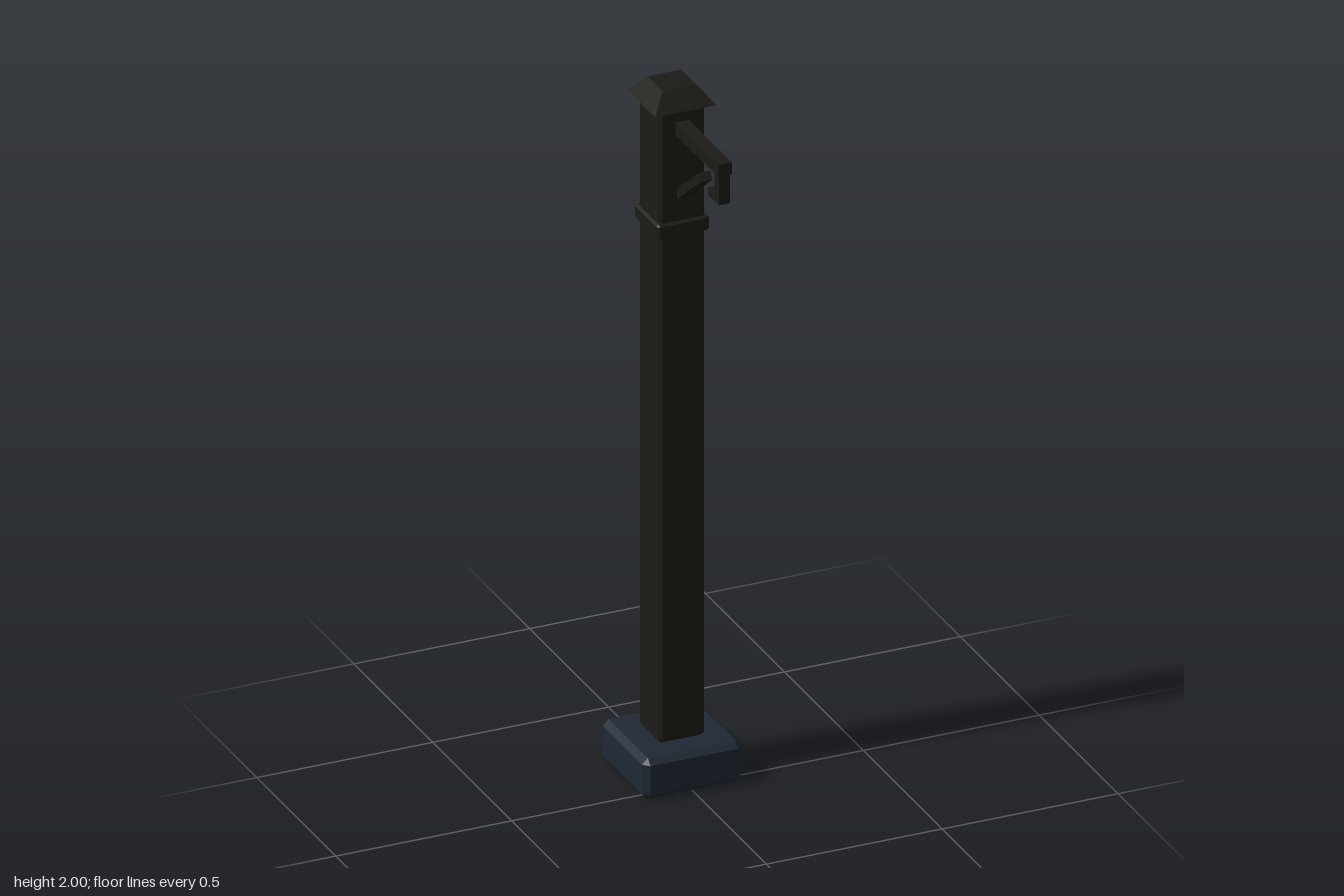
import * as THREE from 'three';
import { ConvexGeometry } from 'three/addons/geometries/ConvexGeometry.js';

const iron = new THREE.MeshStandardMaterial({ color: 0x1c1b16, flatShading: true });
const stone = new THREE.MeshStandardMaterial({ color: 0x1f2835, flatShading: true });

// Box with every edge cut at 45 degrees by c
function chamferBox(w, h, d, c) {
  const half = [w / 2, h / 2, d / 2];
  const points = [];
  for (const sx of [-1, 1]) for (const sy of [-1, 1]) for (const sz of [-1, 1])
    for (let face = 0; face < 3; face++) {
      const p = [sx, sy, sz].map((s, i) => s * (half[i] - (i === face ? 0 : c)));
      points.push(new THREE.Vector3(...p));
    }
  return new ConvexGeometry(points);
}

function add(parent, name, geometry, material, x, y, z) {
  const mesh = new THREE.Mesh(geometry, material);
  mesh.name = name;
  mesh.position.set(x, y, z);
  parent.add(mesh);
  return mesh;
}

export function createModel() {
  const model = new THREE.Group();
  model.name = 'lampPost';
  const axis = -0.098; // z of the post's centre line

  // Footing, shaft and collar
  add(model, 'base', chamferBox(0.283, 0.118, 0.283, 0.017), stone, 0, 0.059, axis);
  add(model, 'post', chamferBox(0.132, 1.84, 0.132, 0.009), iron, 0, 1.038, axis);
  add(model, 'collar', chamferBox(0.148, 0.042, 0.148, 0.006), iron, 0, 1.605, axis);

  // Cap: four-sided frustum
  const cap = new THREE.CylinderGeometry(0.048 * Math.SQRT2, 0.087 * Math.SQRT2, 0.05, 4);
  cap.rotateY(Math.PI / 4);
  add(model, 'cap', cap, iron, 0, 1.975, axis);

  // Bracket: arm, hook and diagonal brace
  const bracket = new THREE.Group();
  bracket.name = 'bracket';
  model.add(bracket);
  add(bracket, 'arm', new THREE.BoxGeometry(0.038, 0.036, 0.29), iron, 0, 1.894, 0.094);
  add(bracket, 'hookDrop', new THREE.BoxGeometry(0.032, 0.085, 0.026), iron, 0, 1.838, 0.221);
  add(bracket, 'hookFoot', new THREE.BoxGeometry(0.032, 0.022, 0.066), iron, 0, 1.803, 0.201);

  const low = new THREE.Vector3(0, 1.69, -0.05);
  const high = new THREE.Vector3(0, 1.82, 0.116);
  const mid = low.clone().add(high).multiplyScalar(0.5);
  const brace = add(bracket, 'brace',
    new THREE.BoxGeometry(0.032, 0.025, low.distanceTo(high)), iron, mid.x, mid.y, mid.z);
  brace.rotation.x = -Math.atan2(high.y - low.y, high.z - low.z);

  return model;
}
